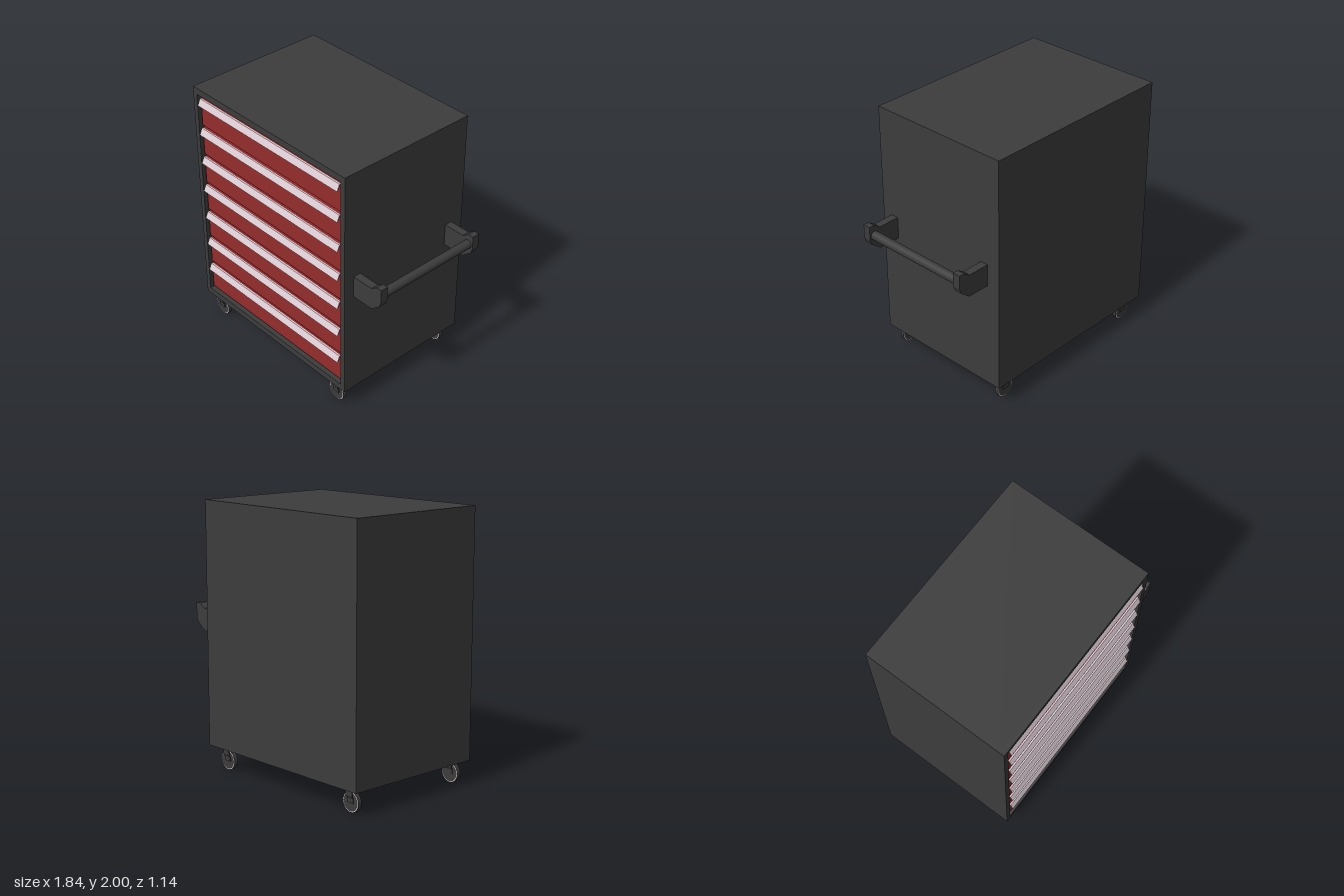
import * as THREE from 'three';

const mat = (name, color, side = THREE.FrontSide) => {
  const m = new THREE.MeshStandardMaterial({ color, side });
  m.name = name;
  return m;
};

export function createModel() {
  const root = new THREE.Group();
  root.name = 'toolCabinet';
  const dark = mat('charcoal', 0x3c3c3c);
  const red = mat('drawerRed', 0x952c2c);
  const pale = mat('paleGrip', 0xdccdd4, THREE.DoubleSide);

  const add = (parent, name, geo, material, x = 0, y = 0, z = 0) => {
    const m = new THREE.Mesh(geo, material);
    m.name = name;
    m.position.set(x, y, z);
    parent.add(m);
    return m;
  };
  // Box given by its lower and upper corners
  const block = (parent, name, material, a, b) =>
    add(parent, name, new THREE.BoxGeometry(b[0] - a[0], b[1] - a[1], b[2] - a[2]), material,
      (a[0] + b[0]) / 2, (a[1] + b[1]) / 2, (a[2] + b[2]) / 2);
  const polygon = (pts) => new THREE.Shape(pts.map(([x, y]) => new THREE.Vector2(x, y)));
  const extrude = (shape, depth) =>
    new THREE.ExtrudeGeometry(shape, { depth, bevelEnabled: false, curveSegments: 24 });

  // Cabinet shell with a shallow front recess
  block(root, 'cabinetBody', dark, [-0.92, 0.175, -0.57], [0.65, 2, 0.515]);
  const frame = polygon([[-0.92, 0.175], [0.65, 0.175], [0.65, 2], [-0.92, 2]]);
  frame.holes.push(polygon([[-0.88, 0.225], [-0.88, 1.95], [0.607, 1.95], [0.607, 0.225]]));
  add(root, 'frontFrame', extrude(frame, 0.043), dark, 0, 0, 0.515);

  // Seven drawers, each with a slanted full-width grip along its top
  const gripSection = polygon([
    [0.538, 0], [0.55, 0], [0.571, -0.05], [0.565, -0.05], [0.547, -0.01], [0.538, -0.01],
  ]);
  for (let i = 0; i < 7; i++) {
    const top = 1.922 - i * 0.2417;
    const drawer = new THREE.Group();
    drawer.name = 'drawer' + (i + 1);
    root.add(drawer);
    block(drawer, 'drawerFront', red, [-0.86, top - 0.22, 0.515], [0.59, top, 0.54]);
    const grip = add(drawer, 'drawerGrip', extrude(gripSection, 1.45), pale, 0.59, top, 0);
    // Section lies in z-y, extruded towards -x
    grip.rotation.y = -Math.PI / 2;
  }

  // Side push handle: two cranked brackets joined by a round bar
  const handle = new THREE.Group();
  handle.name = 'pushHandle';
  root.add(handle);
  const bracket = extrude(polygon([
    [0.65, 1.0], [0.825, 1.0], [0.9, 1.06], [0.915, 1.1], [0.915, 1.205],
    [0.87, 1.205], [0.82, 1.17], [0.65, 1.17],
  ]), 0.06);
  for (const z of [0.415, -0.465]) add(handle, 'handleBracket', bracket, dark, 0, 0, z);
  add(handle, 'handleBar', new THREE.CylinderGeometry(0.034, 0.034, 0.83, 20), dark,
    0.87, 1.124, 0.005).rotation.x = Math.PI / 2;

  // Casters: wheel, thin pale rims and a forked mount
  const wheel = new THREE.CylinderGeometry(0.075, 0.075, 0.03, 28).rotateX(Math.PI / 2);
  const rim = new THREE.RingGeometry(0.067, 0.073, 28);
  const forkSide = extrude(polygon([
    [0.026, 0.175], [0.026, 0.12], [0.016, 0.1], [0.016, 0.07],
    [0.022, 0.07], [0.022, 0.1], [0.034, 0.12], [0.034, 0.175],
  ]), 0.06);
  for (const x of [-0.8, 0.515]) {
    for (const z of [0.495, -0.487]) {
      const caster = new THREE.Group();
      caster.name = 'caster';
      caster.position.set(x, 0, z);
      root.add(caster);
      add(caster, 'wheel', wheel, dark, 0, 0.075, 0);
      for (const s of [-1, 1]) {
        add(caster, 'wheelRim', rim, pale, 0, 0.075, s * 0.0165);
        const side = add(caster, 'forkSide', forkSide, dark, s * 0.03, 0, 0);
        side.rotation.y = -s * Math.PI / 2;
      }
      block(caster, 'forkTop', dark, [-0.03, 0.163, -0.034], [0.03, 0.176, 0.034]);
    }
  }
  return root;
}
